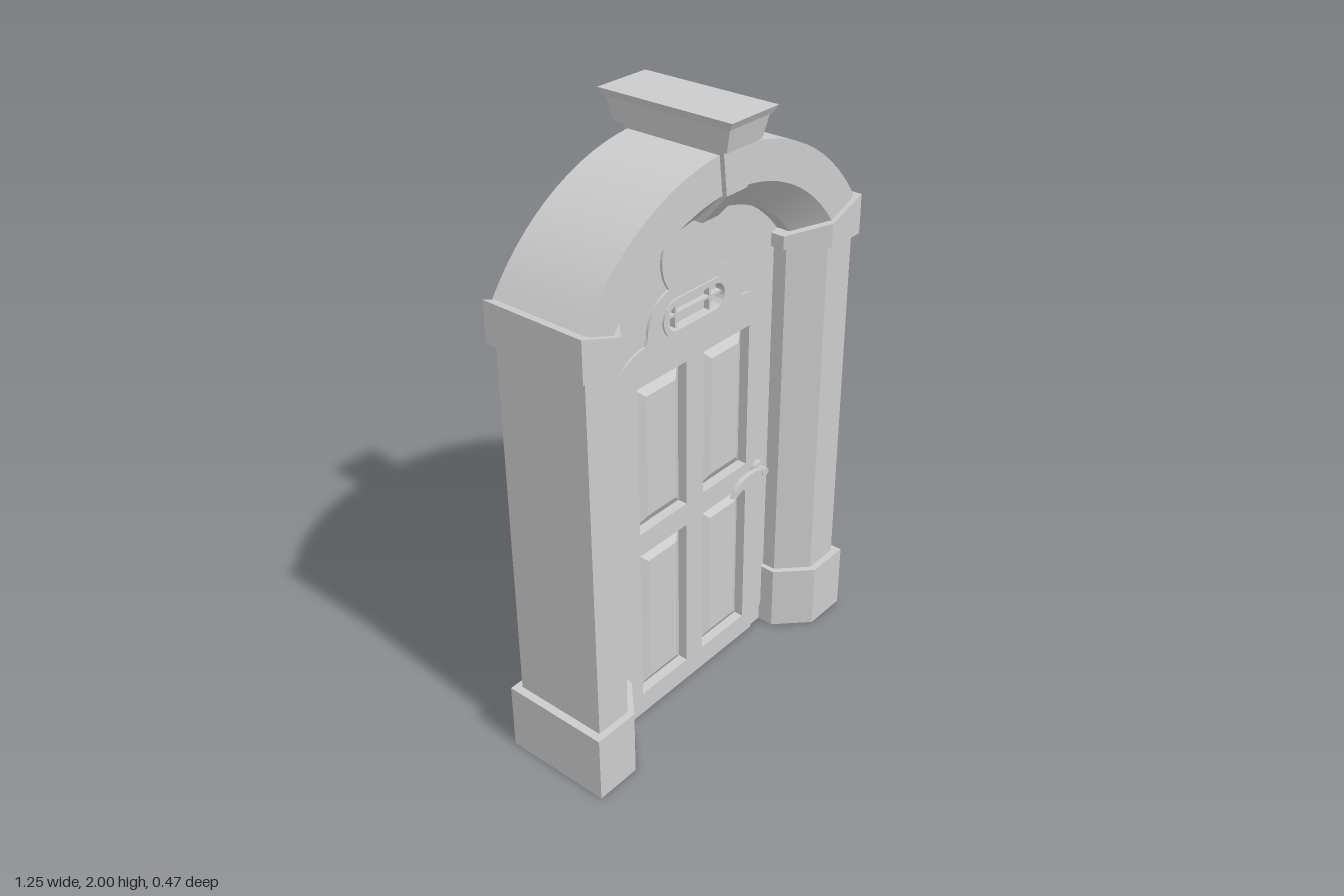
import * as THREE from 'three';
import { toCreasedNormals } from 'three/addons/utils/BufferGeometryUtils.js';

const material = new THREE.MeshStandardMaterial({ color: 0xcccccc });
const ARCH_Y = 1.1675; // centre height of the arch circles

export function createModel() {
  const group = new THREE.Group();

  const add = (name, geometry) => {
    const mesh = new THREE.Mesh(geometry, material);
    mesh.name = name;
    group.add(mesh);
    return mesh;
  };

  // Extrusion centred on z = 0
  const slab = (shape, depth) => {
    const g = new THREE.ExtrudeGeometry(shape, { depth, bevelEnabled: false, curveSegments: 10 });
    g.translate(0, 0, -depth / 2);
    return toCreasedNormals(g, 0.5);
  };

  // Upright prism whose inner corners are cut at 45 degrees
  const prism = (side, outer, cut, inner, d, y0, y1) => {
    const e = d - (cut - inner);
    const pts = [[outer, -d], [outer, d], [cut, d], [inner, e], [inner, -e], [cut, -d]];
    const shape = new THREE.Shape(pts.map(([x, z]) => new THREE.Vector2(side * x, z)));
    const g = new THREE.ExtrudeGeometry(shape, { depth: y1 - y0, bevelEnabled: false });
    g.rotateX(-Math.PI / 2);
    g.translate(0, y0, 0);
    return g;
  };

  // Box with different half sizes at the bottom and top
  const taperBox = (y0, w0, d0, y1, w1, d1) => {
    const g = new THREE.BoxGeometry(2, 1, 2).toNonIndexed();
    const p = g.attributes.position;
    for (let i = 0; i < p.count; i++) {
      const top = p.getY(i) > 0;
      p.setXYZ(i, p.getX(i) * (top ? w1 : w0), top ? y1 : y0, p.getZ(i) * (top ? d1 : d0));
    }
    g.computeVertexNormals();
    return g;
  };

  // Pillars with plinths and sloped capitals
  for (const [side, label] of [[1, 'left'], [-1, 'right']]) {
    add(label + 'Pillar', prism(side, 0.6, 0.475, 0.385, 0.163, 0.2, 1.48));
    add(label + 'Plinth', prism(side, 0.627, 0.47, 0.367, 0.186, 0, 0.23));
    const cap = prism(side, 0.622, 0.475, 0.37, 0.178, 1.44, 1.57).toNonIndexed();
    const p = cap.attributes.position;
    for (let i = 0; i < p.count; i++) {
      if (p.getY(i) > 1.5) p.setY(i, 1.57 - (0.622 - Math.abs(p.getX(i))) * 0.34);
    }
    cap.computeVertexNormals();
    add(label + 'Capital', cap);
  }

  // Arch: the pillar section swept around the arch centre
  const section = [
    [0.7225, -0.163], [0.7225, 0.163], [0.603, 0.163], [0.513, 0.073],
    [0.513, -0.073], [0.603, -0.163], [0.7225, -0.163],
  ].map(([r, z]) => new THREE.Vector2(r, z));
  const sweep = 0.98;
  const arch = new THREE.LatheGeometry(section, 28, -sweep, sweep * 2);
  arch.rotateX(-Math.PI / 2);
  arch.translate(0, ARCH_Y, 0);
  add('arch', toCreasedNormals(arch, 0.4));

  // Keystone and its projecting top
  add('keystoneFoot', taperBox(1.665, 0.035, 0.085, 1.77, 0.045, 0.178));
  add('keystone', taperBox(1.77, 0.045, 0.178, 1.91, 0.062, 0.178));
  add('keystoneBlock', taperBox(1.905, 0.076, 0.2, 1.977, 0.086, 0.217));
  add('keystoneLip', taperBox(1.977, 0.092, 0.222, 2, 0.1, 0.235));

  // Rounded slot outline for the small window
  const slot = (Type, halfW, r) => {
    const s = new Type();
    const c = halfW - r;
    s.absarc(c, 1.38, r, -Math.PI / 2, Math.PI / 2, false);
    s.absarc(-c, 1.38, r, Math.PI / 2, Math.PI * 1.5, false);
    s.closePath();
    return s;
  };

  // Door openings: four panels and the window
  const panels = [];
  for (const x of [-0.15, 0.15]) {
    panels.push({ x, y: 0.9625, w: 0.22, h: 0.505 }, { x, y: 0.355, w: 0.22, h: 0.55 });
  }
  const cutOpenings = (shape) => {
    for (const { x, y, w, h } of panels) {
      const hole = new THREE.Path();
      hole.moveTo(x - w / 2, y - h / 2);
      hole.lineTo(x - w / 2, y + h / 2);
      hole.lineTo(x + w / 2, y + h / 2);
      hole.lineTo(x + w / 2, y - h / 2);
      hole.closePath();
      shape.holes.push(hole);
    }
    shape.holes.push(slot(THREE.Path, 0.145, 0.058));
    return shape;
  };

  // Door slab filling the opening
  const R = 0.53;
  const a = Math.acos(0.4 / R);
  const slabShape = new THREE.Shape();
  slabShape.moveTo(-0.4, 0);
  slabShape.lineTo(0.4, 0);
  slabShape.absarc(0, ARCH_Y, R, a, Math.PI - a, false);
  slabShape.closePath();
  add('doorSlab', slab(cutOpenings(slabShape), 0.052));

  // Raised facing with a lobed outline, drawn as one half and mirrored
  const half = new THREE.Path();
  half.moveTo(0.31, 0);
  half.lineTo(0.31, 0.05);
  half.quadraticCurveTo(0.36, 0.05, 0.365, 0.08);
  half.lineTo(0.365, 1.17);
  half.bezierCurveTo(0.365, 1.28, 0.3, 1.33, 0.22, 1.335);
  half.lineTo(0.21, 1.355);
  half.bezierCurveTo(0.21, 1.42, 0.17, 1.465, 0.115, 1.475);
  half.bezierCurveTo(0.155, 1.52, 0.165, 1.62, 0.09, 1.655);
  half.bezierCurveTo(0.07, 1.662, 0.03, 1.664, 0, 1.664);
  const pts = half.getPoints(10);
  const mirrored = pts.slice(0, -1).reverse().map((p) => new THREE.Vector2(-p.x, p.y));
  add('doorFacing', slab(cutOpenings(new THREE.Shape([...pts, ...mirrored])), 0.068));

  // Bevelled fields inside the panel openings, on both faces
  for (const { x, y, w, h } of panels) {
    const g = new THREE.BoxGeometry(w, h, 0.056, 1, 1, 2).toNonIndexed();
    const p = g.attributes.position;
    for (let i = 0; i < p.count; i++) {
      if (Math.abs(p.getZ(i)) > 0.01) {
        p.setX(i, p.getX(i) * (1 - 0.09 / w));
        p.setY(i, p.getY(i) * (1 - 0.09 / h));
      }
    }
    g.computeVertexNormals();
    add('panelField', g).position.set(x, y, 0);
  }

  // Window frame, pane and glazing bars
  const frame = slot(THREE.Shape, 0.147, 0.06);
  frame.holes.push(slot(THREE.Path, 0.128, 0.042));
  add('windowFrame', slab(frame, 0.08));
  add('windowPane', new THREE.BoxGeometry(0.27, 0.1, 0.012)).position.y = 1.38;
  add('windowBarAcross', new THREE.BoxGeometry(0.26, 0.008, 0.05)).position.y = 1.38;
  for (const x of [-0.077, 0.077]) {
    add('windowBarUpright', new THREE.BoxGeometry(0.008, 0.09, 0.05)).position.set(x, 1.38, 0);
  }

  // Lever handles on both faces
  const lever = new THREE.Shape();
  lever.moveTo(0.315, 0.68);
  lever.bezierCurveTo(0.27, 0.695, 0.18, 0.715, 0.15, 0.642);
  lever.quadraticCurveTo(0.175, 0.64, 0.195, 0.655);
  lever.quadraticCurveTo(0.22, 0.64, 0.24, 0.648);
  lever.quadraticCurveTo(0.265, 0.665, 0.315, 0.655);
  lever.closePath();
  for (const s of [1, -1]) {
    add('handleLever', slab(lever, 0.016)).position.z = s * 0.064;
  }
  for (const [name, r, depth] of [['handleRose', 0.029, 0.1], ['handleSpindle', 0.015, 0.15]]) {
    const g = new THREE.CylinderGeometry(r, r, depth, 20);
    g.rotateX(Math.PI / 2);
    add(name, g).position.set(0.315, 0.667, 0);
  }

  return group;
}
